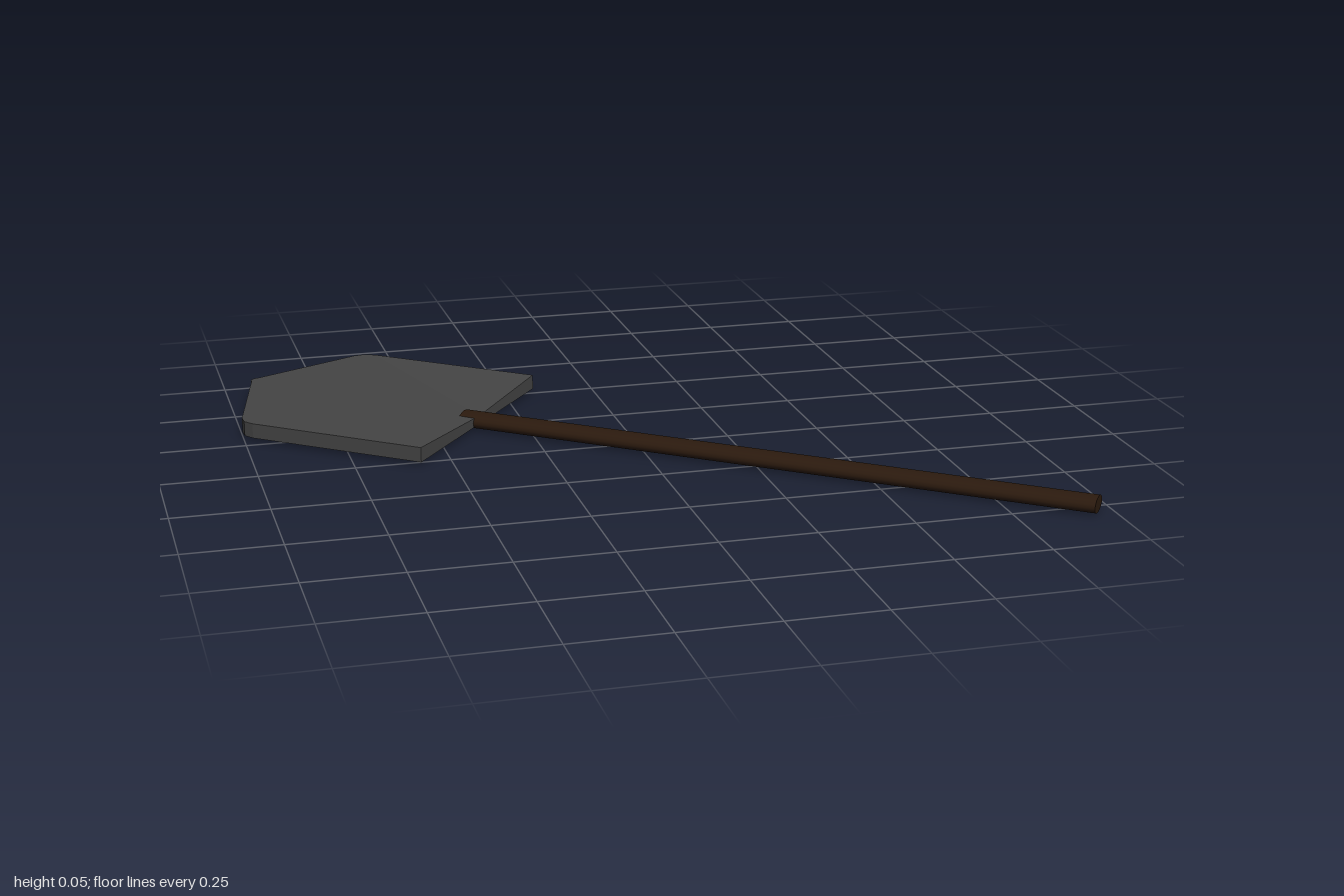
import * as THREE from 'three';

// Pointed blade, dished along its centre line; x runs to the tip, z across
function bladeGeometry() {
  const bottom = 0.01, rim = 0.05, dip = 0.017, length = 0.703;
  const sections = [[0, 0.34], [0.5, 0.34], [0.53, 0.332], [0.55, 0.31], [0.694, 0.02], [length, 0.008]];
  const pos = [], index = [];
  const quad = (a, b, c, d) => index.push(a, b, c, a, c, d);
  for (const [x, w] of sections) {
    const mid = rim - dip * (1 - x / length);
    pos.push(x, rim, -w, x, mid, 0, x, rim, w, x, bottom, w, x, bottom, 0, x, bottom, -w);
  }
  for (let i = 0; i < sections.length - 1; i++) {
    for (let j = 0; j < 6; j++) {
      const a = i * 6 + j, b = i * 6 + (j + 1) % 6;
      quad(a, b, b + 6, a + 6);
    }
  }
  // End caps
  const e = (sections.length - 1) * 6;
  for (const [a, b, c, d] of [[0, 1, 4, 5], [1, 2, 3, 4]]) {
    quad(d, c, b, a);
    quad(e + a, e + b, e + c, e + d);
  }
  const indexed = new THREE.BufferGeometry();
  indexed.setAttribute('position', new THREE.Float32BufferAttribute(pos, 3));
  indexed.setIndex(index);
  const g = indexed.toNonIndexed();
  g.computeVertexNormals();
  return g;
}

export function createModel() {
  const model = new THREE.Group();
  model.name = 'shovel';

  const blade = new THREE.Mesh(
    bladeGeometry(),
    new THREE.MeshStandardMaterial({ color: 0x444444, flatShading: true })
  );
  blade.name = 'blade';

  // Flattened round handle, overlapping the blade slightly
  const start = 0.045, end = -1.687;
  const shaft = new THREE.CylinderGeometry(0.0375, 0.0375, start - end, 16);
  shaft.rotateZ(Math.PI / 2);
  shaft.scale(1, 0.0215 / 0.0375, 1);
  const handle = new THREE.Mesh(shaft, new THREE.MeshStandardMaterial({ color: 0x2b1a0e }));
  handle.name = 'handle';
  handle.position.set((start + end) / 2, 0.0215, 0);

  // Lay the shovel diagonally on the ground
  const shovel = new THREE.Group();
  shovel.name = 'bladeAndHandle';
  shovel.add(blade, handle);
  shovel.rotation.y = Math.PI - 0.66;
  shovel.position.set(-0.375, 0, -0.24);
  model.add(shovel);
  return model;
}
